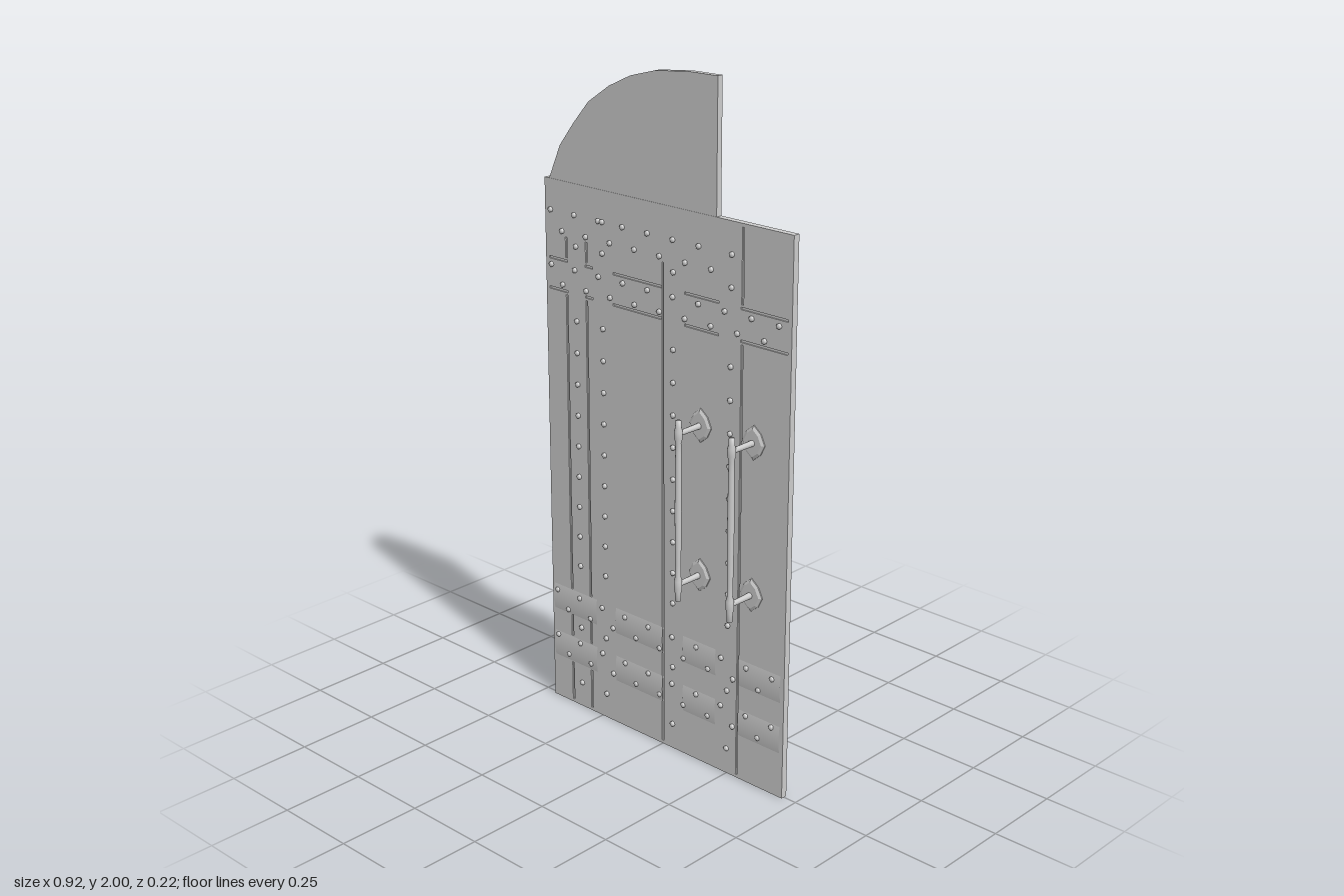
import * as THREE from 'three';

const mat = new THREE.MeshStandardMaterial({ color: 0xcccccc });
const flat = new THREE.MeshStandardMaterial({ color: 0xcccccc, flatShading: true });
const HALF = 0.01; // half the door thickness

function add(parent, name, geo, material = mat) {
  const mesh = new THREE.Mesh(geo, material);
  mesh.name = name;
  parent.add(mesh);
  return mesh;
}

const polygon = pts => new THREE.Shape(pts.map(p => new THREE.Vector2(...p)));

function slab(shape, depth = HALF * 2) {
  return new THREE.ExtrudeGeometry(shape, { depth, bevelEnabled: false }).translate(0, 0, -depth / 2);
}

const rect = (x0, y0, x1, y1) => [[x0, y0], [x1, y0], [x1, y1], [x0, y1]];

// Door leaf with narrow seams cut through to a thin core
function addLeaf(door) {
  const leaf = polygon(rect(-0.458, 0, 0.458, 1.63));
  const seams = [
    [0, 0.01, 1.47], [0.288, 0.01, 1.3], [0.288, 1.41, 1.62],
    [-0.375, 0.01, 0.135], [-0.375, 0.225, 0.295], [-0.375, 0.38, 1.3], [-0.375, 1.41, 1.47],
    [-0.295, 0.01, 0.135], [-0.295, 0.225, 0.295], [-0.295, 0.38, 1.3], [-0.295, 1.41, 1.47],
  ];
  const w = 0.0035;
  for (const [x, y0, y1] of seams) leaf.holes.push(polygon(rect(x - w, y0, x + w, y1)));
  const spans = [[-0.445, -0.37], [-0.3, -0.27], [-0.19, -0.005], [0.08, 0.205], [0.283, 0.445]];
  for (const y of [1.31, 1.4])
    for (const [x0, x1] of spans) leaf.holes.push(polygon(rect(x0, y - w, x1, y + w)));
  add(door, 'leaf', slab(leaf));
  add(door, 'core', new THREE.BoxGeometry(0.91, 1.62, 0.012).translate(0, 0.815, 0));
}

// Shallow rounded bands on both faces near the foot
function addBands(door) {
  const spans = [[-0.45, -0.27], [-0.19, 0], [0.08, 0.205], [0.292, 0.445]];
  const bulge = 0.003, half = 0.041;
  const radius = (half * half + bulge * bulge) / (2 * bulge);
  const angle = Math.asin(half / radius);
  for (const y of [0.18, 0.337])
    for (const [x0, x1] of spans)
      for (const side of [0, Math.PI]) {
        const geo = new THREE.CylinderGeometry(radius, radius, x1 - x0, 8, 1, true, -angle, 2 * angle);
        geo.rotateZ(Math.PI / 2).translate(0, 0, HALF + bulge - radius).rotateY(side);
        add(door, 'footBand', geo).position.set((x0 + x1) / 2, y, 0);
      }
}

// Rivets, each showing on both faces
function addRivets(door) {
  const points = [];
  const row = (y, start, end) => {
    for (let x = start; x <= end + 0.01; x += 0.0945) points.push([x, y]);
  };
  row(1.54, -0.435, 0.13);
  points.push([0.25, 1.54], [-0.23, 1.54]);
  row(1.485, -0.39, 0.17);
  for (const y of [1.38, 0.36, 0.21]) row(y, -0.435, 0.415);
  for (const y of [1.328, 0.308, 0.158]) row(y, -0.39, 0.365);
  const columnYs = [0.08, 0.265, 1.45];
  for (let i = 0; i < 9; i++) columnYs.push(0.468 + i * 0.0953);
  for (const x of [-0.335, -0.23, 0.04, 0.25])
    for (const y of columnYs) points.push([x, y]);

  const profile = [[0.008, 0], [0.008, 0.006], [0.005, 0.0088], [0, 0.0095]].map(p => new THREE.Vector2(...p));
  const geo = new THREE.LatheGeometry(profile, 8).rotateX(Math.PI / 2).translate(0, 0, HALF - 0.001);
  for (const [x, y] of points)
    for (const side of [0, Math.PI]) {
      const rivet = add(door, 'rivet', geo);
      rivet.position.set(x, y, 0);
      rivet.rotation.y = side;
    }
}

// Pull handle: two pointed plates, two stems and a turned grip
function makeHandle() {
  const handle = new THREE.Group();
  handle.name = 'handle';
  const plate = polygon([[0, -0.05], [0.025, -0.03], [0.04, 0], [0.025, 0.03], [0, 0.05], [-0.025, 0.03], [-0.04, 0], [-0.025, -0.03]]);
  const plateGeo = new THREE.ExtrudeGeometry(plate, {
    depth: 0.003, bevelThickness: 0.005, bevelSize: 0.008, bevelOffset: -0.008, bevelSegments: 1,
  });
  for (const y of [0.59, 1.037]) {
    add(handle, 'handlePlate', plateGeo, flat).position.set(0, y, HALF);
    add(handle, 'handleStem', new THREE.CylinderGeometry(0.0075, 0.009, 0.09, 10).rotateX(Math.PI / 2))
      .position.set(0, y, 0.055);
  }
  const profile = [
    [0, 0.54], [0.008, 0.54], [0.009, 0.565], [0.012, 0.58], [0.012, 0.602], [0.008, 0.615],
    [0.0085, 0.65], [0.01, 0.81], [0.0085, 0.98],
    [0.008, 1.01], [0.012, 1.025], [0.012, 1.045], [0.009, 1.055], [0.008, 1.075], [0, 1.075],
  ];
  add(handle, 'handleGrip', new THREE.LatheGeometry(profile.map(p => new THREE.Vector2(...p)), 12))
    .position.z = 0.1;
  return handle;
}

export function createModel() {
  const door = new THREE.Group();
  door.name = 'door';
  addLeaf(door);

  // Half arch standing on the leaf
  add(door, 'archPanel', slab(polygon([
    [-0.44, 1.63], [0.193, 1.63], [0.193, 2], [0.09, 1.998], [-0.03, 1.985], [-0.12, 1.96],
    [-0.2, 1.922], [-0.28, 1.868], [-0.34, 1.8], [-0.395, 1.73],
  ]), 0.018));

  addBands(door);
  addRivets(door);

  for (const x of [0.143, 0.335])
    for (const side of [0, Math.PI]) {
      const handle = makeHandle();
      handle.position.x = x;
      handle.rotation.y = side;
      door.add(handle);
    }
  return door;
}
